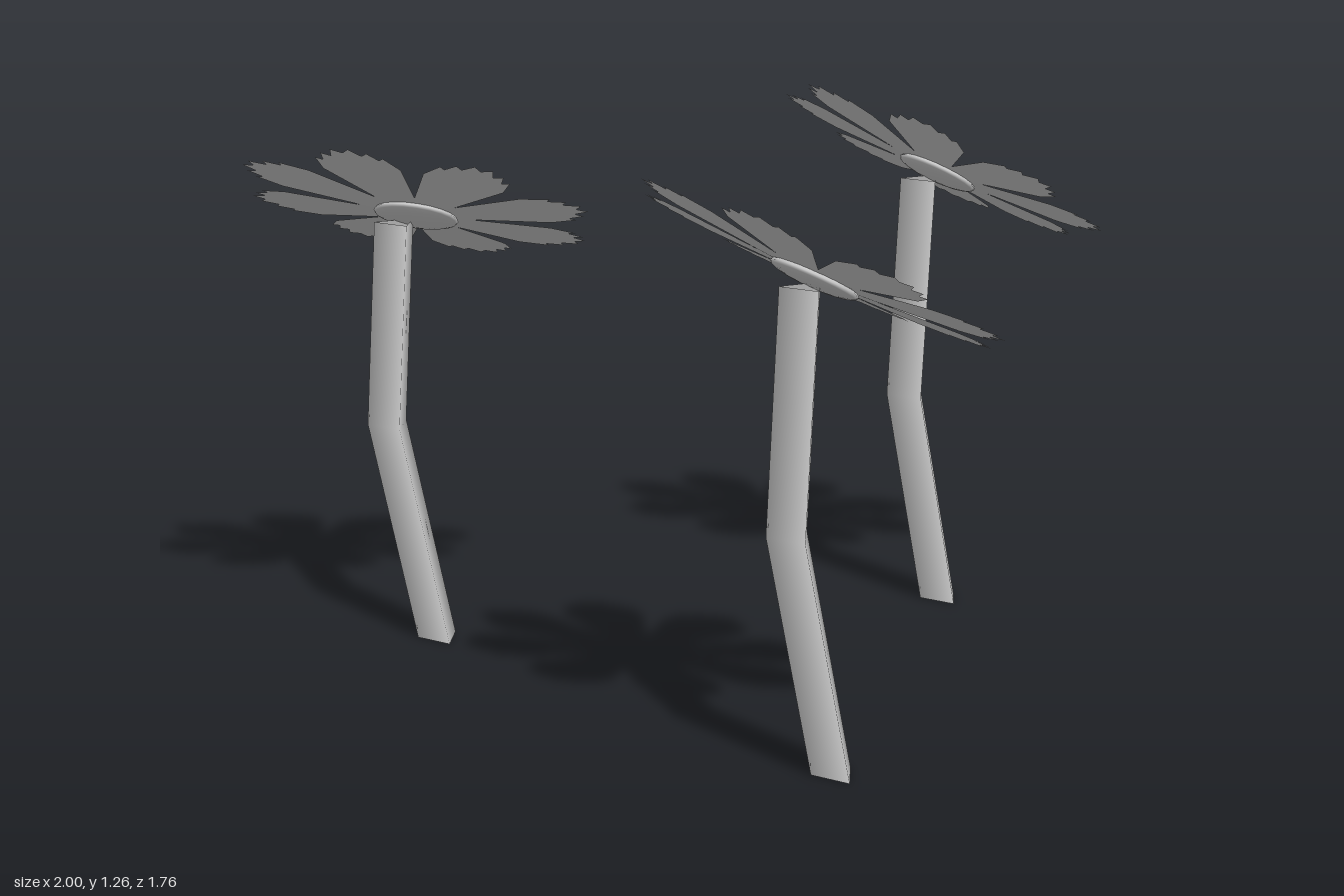
import * as THREE from 'three';

const thin = new THREE.MeshStandardMaterial({ color: 0xcccccc, side: THREE.DoubleSide });

// One petal along +x: straight flaring sides, wide shoulder, toothed tip
function petalGeometry() {
  const half = [
    [0.03, 0.02], [0.12, 0.049], [0.285, 0.092], [0.352, 0.08], [0.34, 0.066],
    [0.38, 0.054], [0.364, 0.036], [0.402, 0.021],
  ];
  const outline = [
    ...half.map(([r, w]) => new THREE.Vector2(r, -w)),
    new THREE.Vector2(0.382, 0),
    ...half.map(([r, w]) => new THREE.Vector2(r, w)).reverse(),
  ];
  const geo = new THREE.ShapeGeometry(new THREE.Shape(outline));
  geo.rotateX(-Math.PI / 2);
  // Lift the tips slightly into a shallow cup
  const p = geo.attributes.position;
  for (let i = 0; i < p.count; i++) p.setY(i, 0.07 * p.getX(i));
  geo.computeVertexNormals();
  return geo;
}

// Open three-sided tube bent through three centre points [x, y, z]
function stemGeometry(points) {
  const geo = new THREE.CylinderGeometry(0.053, 0.053, 2, 3, 2, true, -Math.PI / 4);
  const p = geo.attributes.position;
  for (let i = 0; i < p.count; i++) {
    const [x, y, z] = points[Math.round(p.getY(i)) + 1];
    p.setXYZ(i, p.getX(i) + x, y, p.getZ(i) + z);
  }
  return geo;
}

function makeHead(petal, centre, slopeX, slopeZ, phase) {
  const head = new THREE.Group();
  head.name = 'flowerHead';
  for (let i = 0; i < 8; i++) {
    const m = new THREE.Mesh(petal, thin);
    m.name = 'petal';
    m.rotation.y = -THREE.MathUtils.degToRad(phase + i * 45);
    head.add(m);
  }
  // Flattened button in the middle
  const button = new THREE.Mesh(new THREE.SphereGeometry(0.095, 20, 10), thin);
  button.name = 'flowerCentre';
  button.scale.y = 0.18;
  head.add(button);
  head.position.set(...centre);
  head.quaternion.setFromUnitVectors(
    new THREE.Vector3(0, 1, 0),
    new THREE.Vector3(-slopeX, 1, -slopeZ).normalize()
  );
  return head;
}

export function createModel() {
  const model = new THREE.Group();
  model.name = 'flowers';
  const petal = petalGeometry();
  const flowers = [
    { name: 'leftFlower', stem: [[0.656, 0, 0.442], [0.621, 0.51, 0.532], [0.626, 1.01, 0.502]],
      centre: [0.612, 1.018, 0.467], slope: [-0.09, 0.55], phase: -67.5 },
    { name: 'rightFlower', stem: [[-0.587, 0, 0.512], [-0.64, 0.51, 0.595], [-0.63, 0.97, 0.567]],
      centre: [-0.622, 0.98, 0.523], slope: [0.26, 0.42], phase: -73 },
    { name: 'backFlower', stem: [[-0.017, 0, -0.548], [-0.053, 0.51, -0.465], [-0.042, 1.02, -0.493]],
      centre: [-0.03, 1.03, -0.525], slope: [-0.09, 0.58], phase: -78 },
  ];
  for (const f of flowers) {
    const flower = new THREE.Group();
    flower.name = f.name;
    const stem = new THREE.Mesh(stemGeometry(f.stem), thin);
    stem.name = 'stem';
    flower.add(stem, makeHead(petal, f.centre, ...f.slope, f.phase));
    model.add(flower);
  }
  return model;
}
